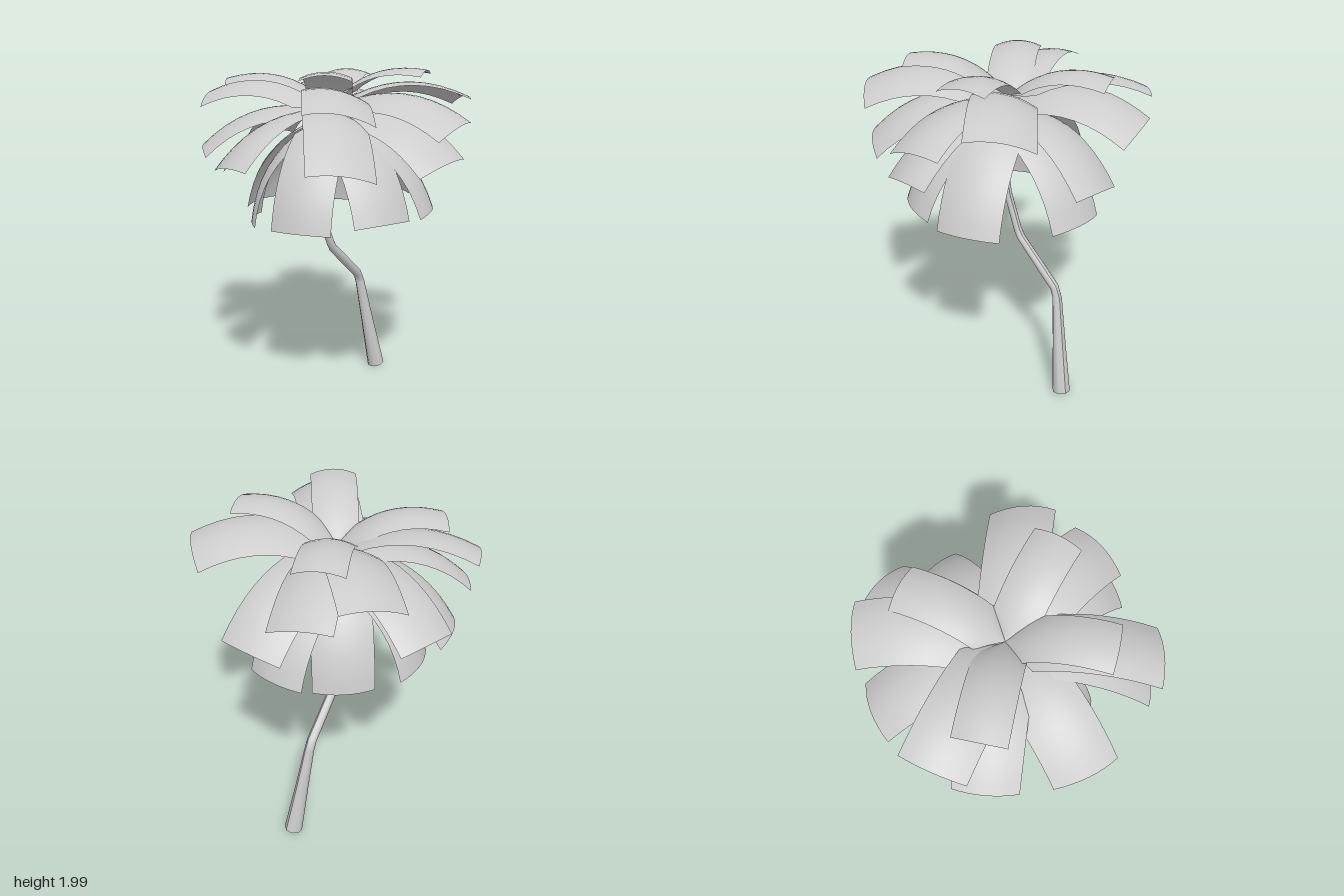
import * as THREE from 'three';

const material = new THREE.MeshStandardMaterial({ color: 0xcccccc, side: THREE.DoubleSide });

// Grid of points (rows x cols) turned into a smooth surface
function gridGeometry(rows, cols, pointAt) {
  const positions = [], index = [];
  for (let i = 0; i <= rows; i++) {
    for (let j = 0; j <= cols; j++) {
      positions.push(...pointAt(i, j).toArray());
      if (i < rows && j < cols) {
        const a = i * (cols + 1) + j, b = a + cols + 1;
        index.push(a, a + 1, b, b, a + 1, b + 1);
      }
    }
  }
  const geometry = new THREE.BufferGeometry();
  geometry.setAttribute('position', new THREE.Float32BufferAttribute(positions, 3));
  geometry.setIndex(index);
  geometry.computeVertexNormals();
  return geometry;
}

// Crooked hollow trunk: rings of [x, y, z, radius] square to the path
function createTrunk() {
  const rings = [
    [0.45, 0.01, -0.155, 0.055], [0.38, 0.35, -0.165, 0.039], [0.325, 0.62, -0.172, 0.029],
    [0.3, 0.68, -0.165, 0.028], [0.055, 0.92, -0.065, 0.026], [0.03, 0.965, -0.055, 0.025],
    [-0.05, 1.17, -0.03, 0.024], [-0.045, 1.4, 0, 0.024], [-0.02, 1.6, 0.01, 0.022], [0, 1.77, 0, 0.018],
  ];
  const sides = 8;
  const centre = rings.map(([x, y, z]) => new THREE.Vector3(x, y, z));
  const up = new THREE.Vector3(0, 1, 0);
  const turns = centre.map((c, i) => {
    const dir = centre[Math.min(i + 1, centre.length - 1)].clone().sub(centre[Math.max(i - 1, 0)]).normalize();
    return new THREE.Quaternion().setFromUnitVectors(up, dir);
  });
  const trunk = new THREE.Mesh(gridGeometry(rings.length - 1, sides, (i, j) => {
    const a = -(j / sides) * Math.PI * 2;
    const r = rings[i][3];
    return new THREE.Vector3(Math.cos(a) * r, 0, Math.sin(a) * r).applyQuaternion(turns[i]).add(centre[i]);
  }), material);
  trunk.name = 'trunk';
  return trunk;
}

// Broad leaf: pointed at the hub, quickly full width, arched along and across, tilted sideways
function createFrond(base, reach, tipHeight, tilt) {
  const start = new THREE.Vector2(0, base), tip = new THREE.Vector2(reach, tipHeight);
  const chord = tip.clone().sub(start);
  const bend = start.clone().lerp(tip, 0.5).add(new THREE.Vector2(-chord.y, chord.x).multiplyScalar(0.29));
  const curve = new THREE.QuadraticBezierCurve(start, bend, tip);
  const halfWidth = chord.length() * 0.225;
  const rows = 10, cols = 8;
  return gridGeometry(rows, cols, (i, j) => {
    const t = i / rows, s = (j / cols) * 2 - 1;
    const p = curve.getPoint(t), d = curve.getTangent(t);
    const w = halfWidth * Math.min(1, t / 0.2) * (0.95 + 0.05 * t);
    const lift = w * (tilt * s - 0.22 * s * s);
    return new THREE.Vector3(p.x - d.y * lift, p.y + d.x * lift, s * w);
  });
}

export function createModel() {
  const model = new THREE.Group();
  model.name = 'palmTree';
  model.add(createTrunk());

  // Leaf tiers from top to bottom; each leaf is [angle from +x towards +z, reach, tip height, sideways tilt]
  const tiers = [
    { name: 'topFrond', base: 1.78,
      leaves: [[124, 0.535, 1.985], [50, 0.535, 1.985], [-45, 0.56, 1.93], [213, 0.57, 1.93]] },
    { name: 'upperFrond', base: 1.76,
      leaves: [[28, 0.75, 1.83, 0.2], [118, 0.765, 1.83, 0.2], [228, 0.745, 1.83, 0.2], [-67, 0.745, 1.83, 0.2],
        [62, 0.765, 1.72, -0.2], [-40, 0.745, 1.72, -0.2]] },
    { name: 'middleFrond', base: 1.74,
      leaves: [[167, 0.74, 1.53, -0.22], [117, 0.75, 1.54, 0.22], [69, 0.75, 1.54, -0.22], [-15, 0.71, 1.48, 0.22],
        [268, 0.735, 1.55], [209, 0.72, 1.56, 0.1], [235, 0.66, 1.38]] },
    { name: 'lowerFrond', base: 1.73,
      leaves: [[91, 0.575, 1.23], [47, 0.59, 1.22], [-17, 0.57, 1.22], [-59, 0.45, 1.13],
        [-115, 0.52, 1.17], [212, 0.46, 1.12], [141, 0.5, 1.17]] },
  ];
  for (const { name, base, leaves } of tiers) {
    const tier = new THREE.Group();
    tier.name = name + 's';
    for (const [angle, reach, tipHeight, tilt = 0] of leaves) {
      const frond = new THREE.Mesh(createFrond(base, reach, tipHeight, tilt), material);
      frond.name = name;
      frond.rotation.y = -THREE.MathUtils.degToRad(angle);
      tier.add(frond);
    }
    model.add(tier);
  }
  return model;
}
